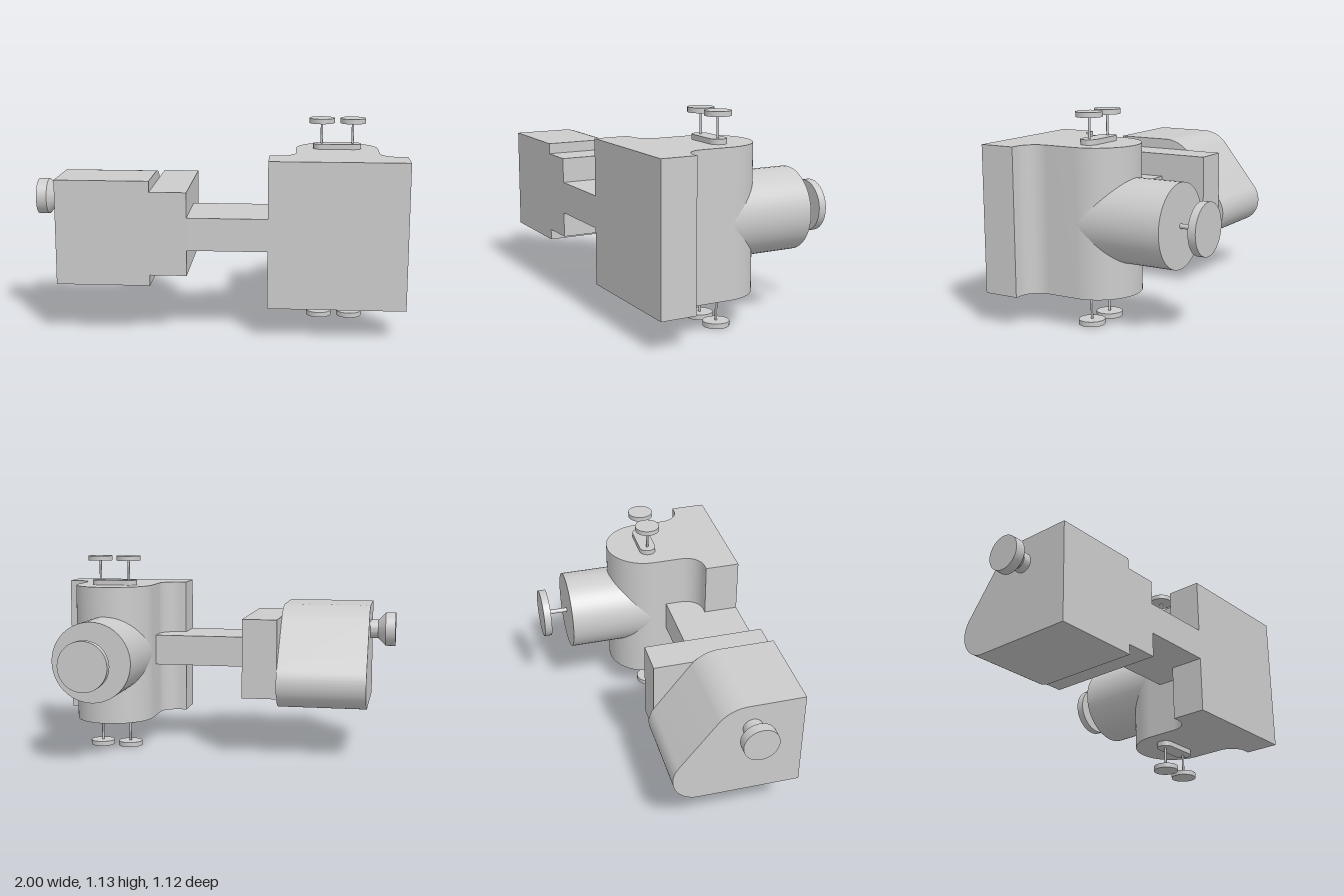
import * as THREE from 'three';
import { toCreasedNormals } from 'three/addons/utils/BufferGeometryUtils.js';

const material = new THREE.MeshStandardMaterial({ color: 0xcccccc });

function part(name, geometry, parent) {
  const mesh = new THREE.Mesh(geometry, material);
  mesh.name = name;
  parent.add(mesh);
  return mesh;
}

// Box given by its limits on each axis
function block(name, [x0, x1], [y0, y1], [z0, z1], parent) {
  const mesh = part(name, new THREE.BoxGeometry(x1 - x0, y1 - y0, z1 - z0), parent);
  mesh.position.set((x0 + x1) / 2, (y0 + y1) / 2, (z0 + z1) / 2);
}

function extrude(shape, depth) {
  const geometry = new THREE.ExtrudeGeometry(shape, { depth, bevelEnabled: false, curveSegments: 24 });
  return toCreasedNormals(geometry, 0.5);
}

// Upright cylinder from y0 to y1
function post(name, radius, y0, y1, parent) {
  const geometry = new THREE.CylinderGeometry(radius, radius, y1 - y0, 48);
  geometry.translate(0, (y0 + y1) / 2, 0);
  return part(name, geometry, parent);
}

export function createModel() {
  const model = new THREE.Group();
  model.name = 'valveAssembly';
  const cx = 0.63, cy = 0.565, cz = 0.085, r = 0.225, fillet = 0.105;

  // Main body: flange plate filleted into a rounded column (plan drawn as x, -z)
  const plan = new THREE.Shape();
  plan.moveTo(0.265, -0.56);
  plan.lineTo(0.995, -0.56);
  plan.lineTo(0.995, -0.365);
  plan.lineTo(cx + r + fillet, -0.365);
  plan.absarc(cx + r + fillet, -0.365 + fillet, fillet, -Math.PI / 2, -Math.PI, true);
  plan.absarc(cx, -cz, r, 0, Math.PI, false);
  plan.absarc(cx - r - fillet, -0.365 + fillet, fillet, 0, -Math.PI / 2, true);
  plan.lineTo(0.265, -0.365);
  const body = part('mainBody', extrude(plan, 0.787), model);
  body.rotation.x = -Math.PI / 2;
  body.position.y = 0.172;

  // Rear port with its large disc, built upright and turned to face -z
  const port = new THREE.Group();
  port.name = 'rearPort';
  port.position.set(cx, cy, 0);
  port.rotation.x = -Math.PI / 2;
  model.add(port);
  post('portBarrel', r, -cz, 0.405, port);
  post('portStem', 0.013, 0.405, 0.522, port);
  post('portDisc', 0.14, 0.52, 0.563, port);

  // Twin small discs on a rounded pad, above and below the column
  const padShape = new THREE.Shape();
  padShape.absarc(0.085, 0, 0.047, -Math.PI / 2, Math.PI / 2, false);
  padShape.absarc(-0.085, 0, 0.047, Math.PI / 2, Math.PI * 1.5, false);
  for (const [name, turn] of [['topFitting', 0], ['bottomFitting', Math.PI]]) {
    const fitting = new THREE.Group();
    fitting.name = name;
    fitting.position.set(cx, cy, cz);
    fitting.rotation.x = turn;
    model.add(fitting);
    const pad = part('fittingPad', extrude(padShape, 0.03), fitting);
    pad.rotation.x = -Math.PI / 2;
    pad.position.y = 0.392;
    for (const x of [-0.085, 0.085]) {
      post('fittingStem', 0.0065, 0.42, 0.538, fitting).position.x = x;
      post('fittingDisc', 0.07, 0.536, 0.563, fitting).position.x = x;
    }
  }

  // Arm and adapter joining the body to the housing
  block('arm', [-0.16, 0.45], [0.48, 0.655], [0.165, 0.56], model);
  block('adapterBlock', [-0.357, -0.16], [0.343, 0.79], [-0.113, 0.56], model);

  // Housing with a sloped, rounded back (profile drawn as z, y)
  const lean = THREE.MathUtils.degToRad(142);
  const profile = new THREE.Shape();
  profile.moveTo(0.56, 0.285);
  profile.lineTo(0.56, 0.848);
  profile.absarc(0.25, 0.648, 0.2, Math.PI / 2, lean, false);
  profile.absarc(-0.002, 0.425, 0.14, lean, Math.PI * 1.5, false);
  const housing = part('housing', extrude(profile, 0.5), model);
  housing.rotation.y = -Math.PI / 2;
  housing.position.x = -0.356;

  // Flared knob on the housing's outer end
  const outline = [[0, 0], [0.053, 0], [0.053, 0.05], [0.097, 0.093], [0.097, 0.149], [0, 0.149]];
  const lathe = new THREE.LatheGeometry(outline.map(([x, y]) => new THREE.Vector2(x, y)), 48);
  const knob = part('endKnob', toCreasedNormals(lathe, 0.5), model);
  knob.rotation.z = Math.PI / 2;
  knob.position.set(-0.851, 0.708, 0.278);

  return model;
}
